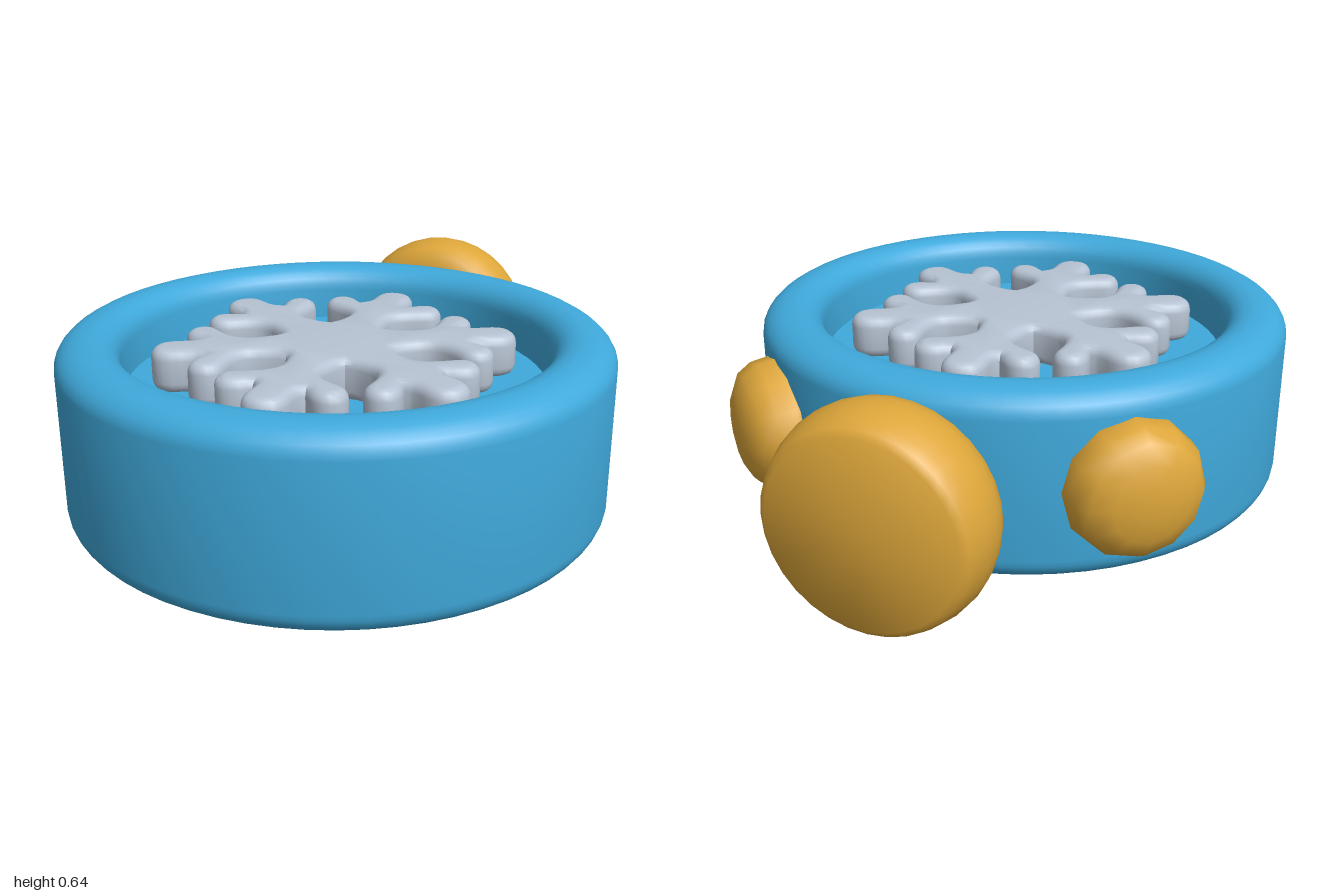
import * as THREE from 'three';
import { toCreasedNormals } from 'three/addons/utils/BufferGeometryUtils.js';

const BODY_Z = 0.155; // centre of the round case
const MID_Y = 0.33; // height of the crown and button axes

const blue = new THREE.MeshStandardMaterial({ name: 'caseBlue', color: 0x3fa9db });
const gold = new THREE.MeshStandardMaterial({ name: 'gold', color: 0xdda63a });
const silver = new THREE.MeshStandardMaterial({ name: 'paleSilver', color: 0xb8c4d4 });

// Quarter-ellipse corner as profile points, angles in degrees
function corner(cx, cy, rx, ry, from, to, steps = 6) {
  return Array.from({ length: steps + 1 }, (_, i) => {
    const a = THREE.MathUtils.degToRad(from + ((to - from) * i) / steps);
    return [cx + rx * Math.cos(a), cy + ry * Math.sin(a)];
  });
}

function lathe(profile, segments, crease = 0.6) {
  const points = profile.map(([r, y]) => new THREE.Vector2(r, y));
  return toCreasedNormals(new THREE.LatheGeometry(points, segments), crease);
}

function addMesh(parent, name, geometry, material) {
  const mesh = new THREE.Mesh(geometry, material);
  mesh.name = name;
  parent.add(mesh);
  return mesh;
}

// Closed outline made from half an arm, mirrored and repeated six times
function snowflakeShape() {
  const half = [
    [0.165, 0.095], [0.215, 0.075], [0.27, 0.07], [0.31, 0.095], [0.34, 0.145],
    [0.362, 0.185], [0.398, 0.2], [0.435, 0.187], [0.453, 0.15], [0.438, 0.108],
    [0.412, 0.08], [0.44, 0.066], [0.5, 0.066], [0.543, 0.047], [0.56, 0],
  ];
  const arm = [
    ...half,
    ...half.slice(1, -1).reverse().map(([u, v]) => [u, -v]),
  ];
  const points = [];
  for (let k = 0; k < 6; k++) {
    const a = Math.PI / 2 - (k * Math.PI) / 3;
    const c = Math.cos(a), s = Math.sin(a);
    for (const [u, v] of arm) {
      points.push(new THREE.Vector3(u * c - v * s, u * s + v * c, 0));
    }
  }
  const curve = new THREE.CatmullRomCurve3(points, true, 'centripetal');
  const outline = curve.getPoints(points.length * 2).slice(0, -1);
  return new THREE.Shape(outline.map((p) => new THREE.Vector2(p.x, p.y)));
}

export function createModel() {
  const model = new THREE.Group();
  model.name = 'pocketStopwatch';

  // Round case with a soft rim and a sunken face
  const caseProfile = [
    [0, 0.045],
    ...corner(0.77, 0.115, 0.07, 0.07, -90, 0),
    ...corner(0.74, 0.54, 0.1, 0.075, 0, 90),
    ...corner(0.73, 0.54, 0.08, 0.075, 90, 180),
    [0.645, 0.44],
    [0, 0.44],
  ];
  addMesh(model, 'case', lathe(caseProfile, 64), blue).position.z = BODY_Z;

  // Puffy snowflake lying on the face
  const flake = new THREE.ExtrudeGeometry(snowflakeShape(), {
    depth: 0.07, bevelEnabled: true, bevelThickness: 0.032,
    bevelSize: 0.032, bevelOffset: -0.032, bevelSegments: 4,
  });
  flake.rotateX(-Math.PI / 2);
  addMesh(model, 'snowflake', toCreasedNormals(flake, 0.9), silver)
    .position.set(0, 0.47, BODY_Z);

  // Crown on a flared neck, pointing backwards
  const crownProfile = [
    [0.165, 0.6], [0.165, 0.7], [0.175, 0.728], [0.2, 0.742], [0.24, 0.748],
    [0.285, 0.765], [0.305, 0.79], [0.318, 0.835], [0.322, 0.875],
    [0.318, 0.915], [0.307, 0.955], [0.295, 0.985], [0.275, 1], [0, 1],
  ];
  const crown = lathe(crownProfile, 32, 0.75).rotateX(-Math.PI / 2);
  addMesh(model, 'crown', crown, gold).position.y = MID_Y;

  // Domed push buttons on both sides of the crown
  const buttonProfile = [
    [0.16, 0.74], [0.19, 0.79], [0.205, 0.835], [0.196, 0.89],
    [0.168, 0.935], [0.115, 0.962], [0.055, 0.974], [0, 0.977],
  ];
  const button = lathe(buttonProfile, 12, 1.2).rotateX(-Math.PI / 2);
  for (const side of [1, -1]) {
    const mesh = addMesh(model, side > 0 ? 'leftButton' : 'rightButton', button, gold);
    mesh.position.set(0, MID_Y, BODY_Z);
    mesh.rotation.y = -side * THREE.MathUtils.degToRad(41.5);
  }

  return model;
}
